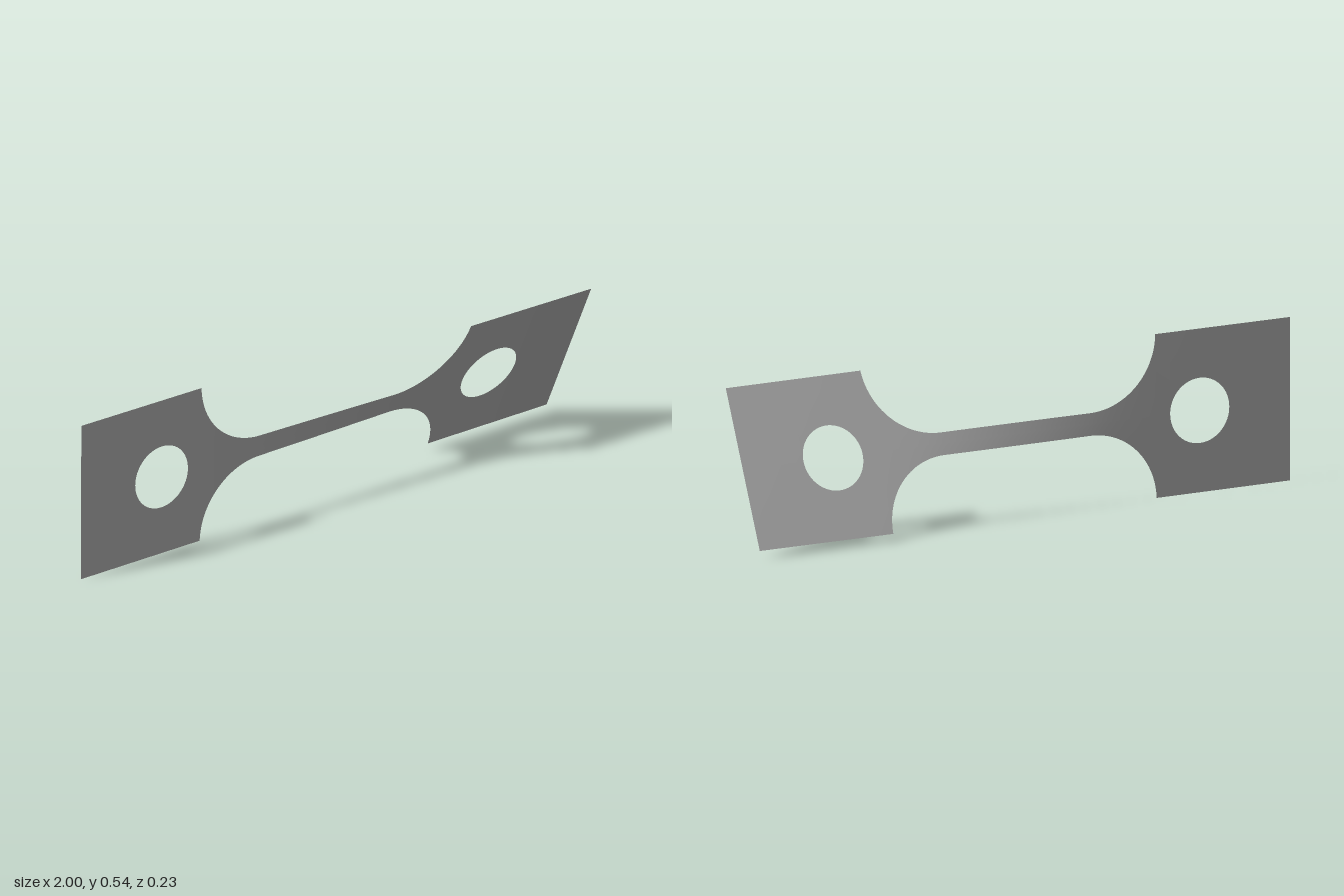
import * as THREE from 'three';

const CENTER_Y = 0.272;     // height of the long axis
const PLATE = 0.271;        // half height of the end plates
const NECK = 0.037;         // half height of the neck
const FILLET_X = 0.27, FILLET_R = 0.24;
const HOLE_X = 0.67, HOLE_R = 0.108;
const START = THREE.MathUtils.degToRad(0.3), END = THREE.MathUtils.degToRad(25.4);

// Half height of the outline: neck, round fillets, then square plates
function outer(x) {
  const d = Math.abs(x) - FILLET_X;
  if (d <= 0) return NECK;
  if (d > FILLET_R - 1e-6) return PLATE;
  return Math.min(PLATE, NECK + FILLET_R - Math.sqrt(FILLET_R * FILLET_R - d * d));
}

// Half height of the round hole in each plate
function inner(x) {
  const d = Math.abs(x) - HOLE_X;
  return Math.sqrt(Math.max(0, HOLE_R * HOLE_R - d * d));
}

// Cross-section positions, closer together around the curves
function stations() {
  const half = [];
  for (let i = 0; i < 12; i++) half.push(FILLET_X * i / 12);
  for (let i = 0; i <= 32; i++) half.push(FILLET_X + FILLET_R * Math.sin(i / 32 * Math.PI / 2));
  for (let i = 0; i <= 40; i++) half.push(HOLE_X - HOLE_R * Math.cos(i / 40 * Math.PI));
  for (let i = 1; i <= 6; i++) half.push(THREE.MathUtils.lerp(HOLE_X + HOLE_R, 1, i / 6));
  return [...half.slice(1).reverse().map(x => -x), ...half];
}

// Twist angle at each station: narrow sections twist the most
function twistAngles(xs) {
  const sums = [0];
  for (let i = 1; i < xs.length; i++) {
    const mid = (xs[i] + xs[i - 1]) / 2;
    sums.push(sums[i - 1] + (xs[i] - xs[i - 1]) / Math.pow(outer(mid), 1.5));
  }
  const total = sums[sums.length - 1];
  return sums.map(s => THREE.MathUtils.lerp(START, END, s / total));
}

// One half of the sheet, above (side 1) or below (side -1) the long axis
function halfSheet(side, xs, angles) {
  const positions = [], index = [];
  const rows = 3;
  xs.forEach((x, i) => {
    for (let r = 0; r <= rows; r++) {
      const v = side * THREE.MathUtils.lerp(inner(x), outer(x), r / rows);
      positions.push(x, CENTER_Y + v * Math.cos(angles[i]), v * Math.sin(angles[i]));
    }
    if (i === 0) return;
    for (let r = 0; r < rows; r++) {
      const b = i * (rows + 1) + r, a = b - rows - 1;
      if (side > 0) index.push(a, b, b + 1, a, b + 1, a + 1);
      else index.push(a, b + 1, b, a, a + 1, b + 1);
    }
  });
  const geometry = new THREE.BufferGeometry();
  geometry.setAttribute('position', new THREE.Float32BufferAttribute(positions, 3));
  geometry.setIndex(index);
  geometry.computeVertexNormals();
  return geometry;
}

export function createModel() {
  const metal = new THREE.MeshStandardMaterial({ color: 0xb8b8b8, side: THREE.DoubleSide });
  metal.name = 'grey metal';
  const group = new THREE.Group();
  group.name = 'twistedTestStrip';

  const xs = stations();
  const angles = twistAngles(xs);
  for (const [name, side] of [['upperHalf', 1], ['lowerHalf', -1]]) {
    const mesh = new THREE.Mesh(halfSheet(side, xs, angles), metal);
    mesh.name = name;
    group.add(mesh);
  }
  return group;
}
